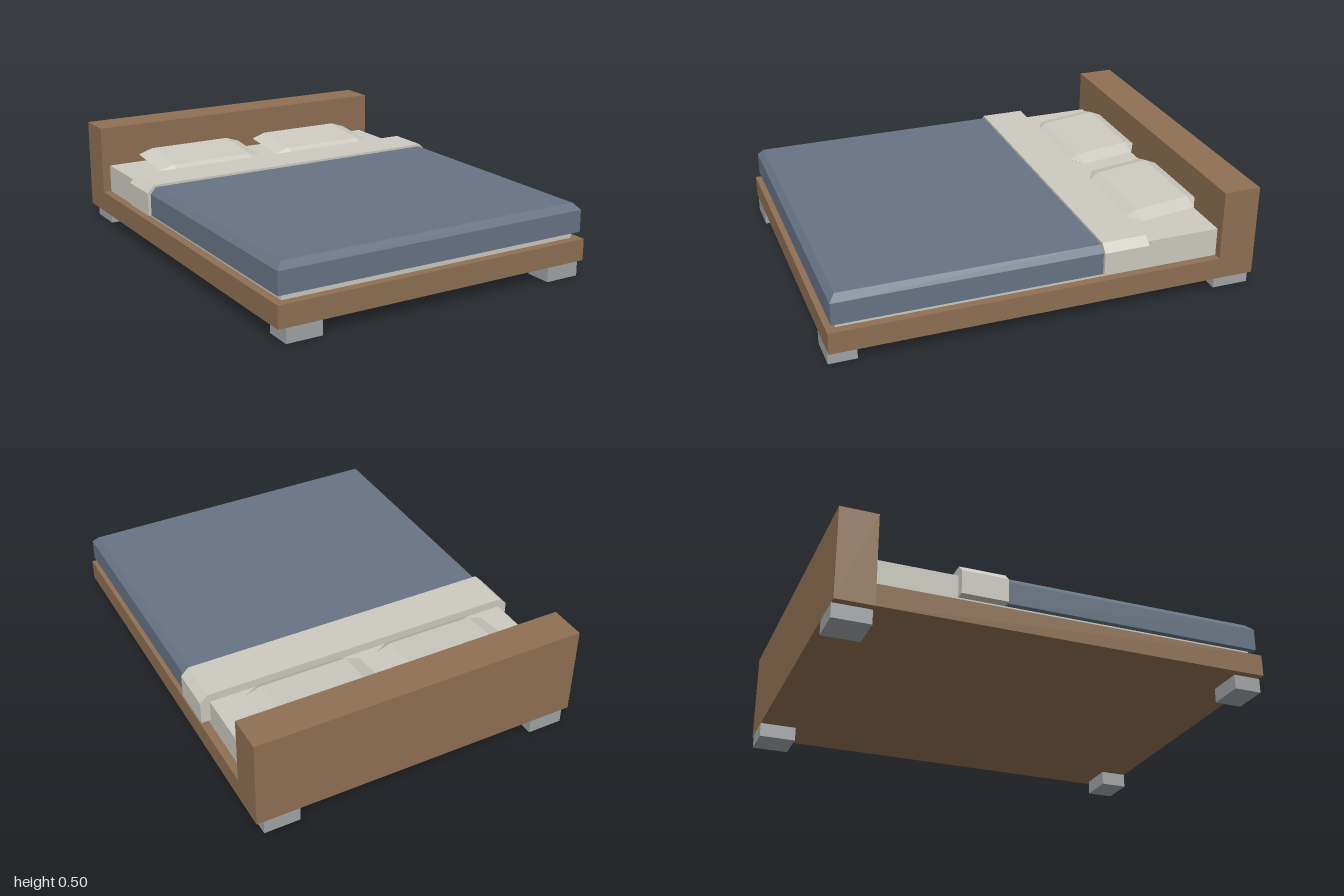
import * as THREE from 'three';
import { ConvexGeometry } from 'three/addons/geometries/ConvexGeometry.js';

const material = (color) => new THREE.MeshStandardMaterial({ color, flatShading: true });
const wood = material(0x8f7053);
const linen = material(0xcccac0);
const blue = material(0x677485);
const metal = material(0xa0a4a6);

// Box given by its lower and upper corner
function box(name, mat, [x0, y0, z0], [x1, y1, z1]) {
  const mesh = new THREE.Mesh(new THREE.BoxGeometry(x1 - x0, y1 - y0, z1 - z0), mat);
  mesh.position.set((x0 + x1) / 2, (y0 + y1) / 2, (z0 + z1) / 2);
  mesh.name = name;
  return mesh;
}

// Box whose top is drawn in: by insetX on both sides and by insetFront at the front
function chamferedCover(name, mat, [x0, y0, z0], [x1, y1, z1], shoulder, insetX, insetFront) {
  const points = [];
  for (const z of [z0, z1]) {
    for (const y of [y0, shoulder]) points.push(new THREE.Vector3(x0, y, z), new THREE.Vector3(x1, y, z));
    const zTop = z === z1 ? z - insetFront : z;
    points.push(new THREE.Vector3(x0 + insetX, y1, zTop), new THREE.Vector3(x1 - insetX, y1, zTop));
  }
  const mesh = new THREE.Mesh(new ConvexGeometry(points), mat);
  mesh.name = name;
  return mesh;
}

// Flat cushion: an octagonal rim between two smaller rectangles
function pillow(name, x) {
  const w = 0.284, d = 0.177, innerW = 0.212, innerD = 0.13, h = 0.024;
  const points = [];
  for (const sx of [-1, 1]) {
    for (const sz of [-1, 1]) {
      points.push(new THREE.Vector3(sx * w, 0, sz * innerD), new THREE.Vector3(sx * (innerW - 0.01), 0, sz * d));
      for (const sy of [-1, 1]) points.push(new THREE.Vector3(sx * innerW, sy * h, sz * innerD));
    }
  }
  const mesh = new THREE.Mesh(new ConvexGeometry(points), linen);
  mesh.position.set(x, 0.342, -0.648);
  mesh.rotation.x = 0.105;
  mesh.name = name;
  return mesh;
}

export function createModel() {
  const bed = new THREE.Group();
  bed.name = 'bed';

  // Wooden base and headboard
  bed.add(box('bedFrame', wood, [-0.796, 0.068, -0.825], [0.79, 0.17, 1]));
  bed.add(box('headboard', wood, [-0.796, 0.068, -1], [0.79, 0.502, -0.825]));

  // Feet
  for (const [side, x] of [['right', -0.76], ['left', 0.586]]) {
    bed.add(box(side + 'FrontFoot', metal, [x, 0, 0.87], [x + 0.171, 0.068, 1]));
    bed.add(box(side + 'BackFoot', metal, [x, 0, -1], [x + 0.171, 0.068, -0.825]));
  }

  // Bedding
  bed.add(box('mattress', linen, [-0.756, 0.17, -0.825], [0.75, 0.305, 0.957]));
  bed.add(chamferedCover('blanket', blue, [-0.784, 0.2, -0.245], [0.78, 0.335, 0.981], 0.304, 0.028, 0.027));
  bed.add(chamferedCover('foldedSheet', linen, [-0.799, 0.2, -0.458], [0.796, 0.346, -0.245], 0.31, 0.036, 0));
  bed.add(pillow('rightPillow', -0.331));
  bed.add(pillow('leftPillow', 0.324));
  return bed;
}
